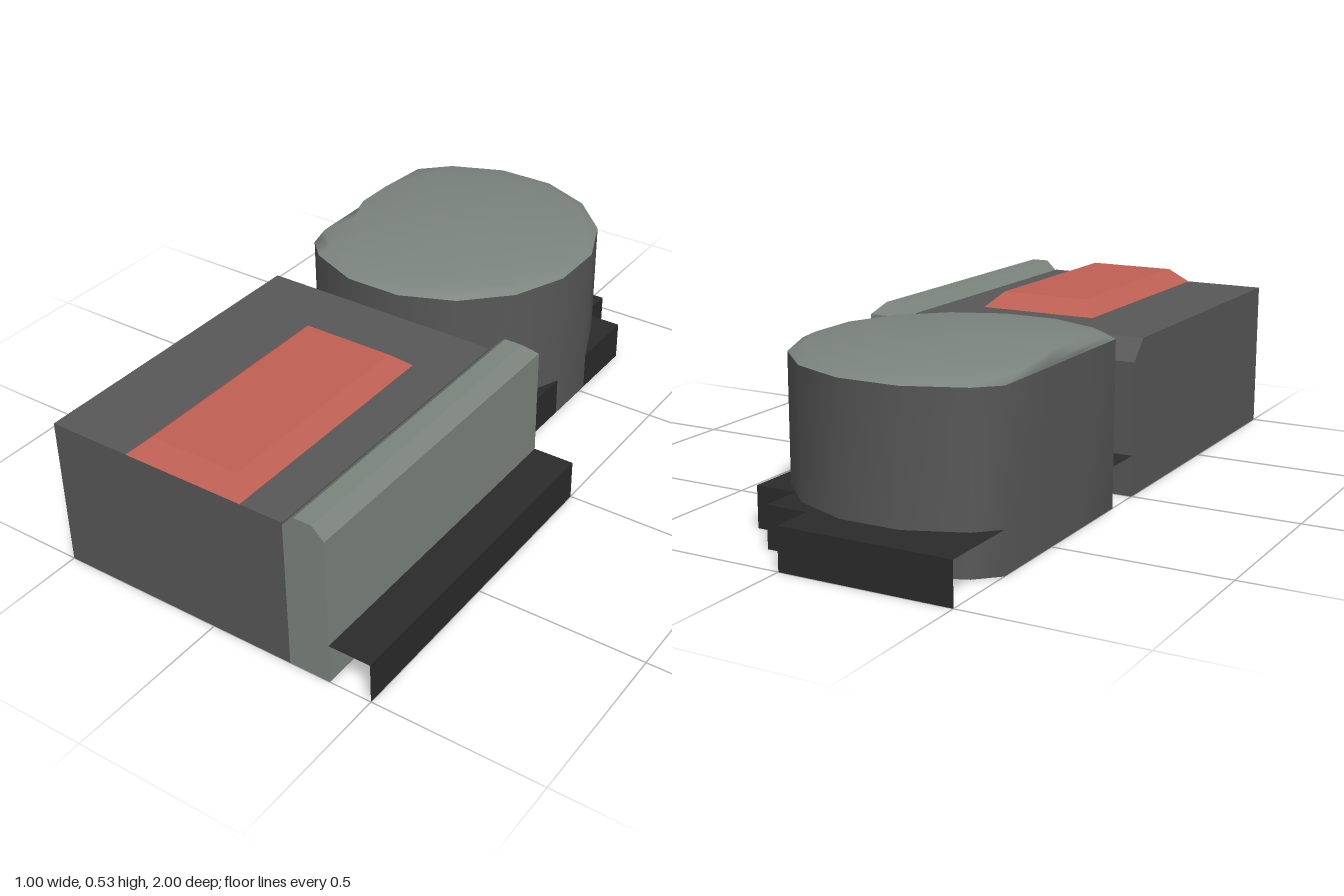
import * as THREE from 'three';
import { ConvexGeometry } from 'three/addons/geometries/ConvexGeometry.js';

const paint = (color) => new THREE.MeshStandardMaterial({ color, side: THREE.DoubleSide });
const black = paint(0x2b2b2b), darkGrey = paint(0x585858), paleGrey = paint(0x7c847e), red = paint(0xc06054);

function part(name, geometry, material) {
  const mesh = new THREE.Mesh(geometry, material);
  mesh.name = name;
  return mesh;
}

// Solid between rectangles given as [y, x0, x1, z0, z1]
function block(...levels) {
  const points = [];
  for (const [y, x0, x1, z0, z1] of levels)
    for (const x of [x0, x1]) for (const z of [z0, z1]) points.push(new THREE.Vector3(x, y, z));
  return new ConvexGeometry(points);
}

// Sixteen-sided ring, cut straight where it passes x = cut
const SIDES = 16;
function ring(radius, cut) {
  const corners = Array.from({ length: SIDES }, (_, i) => {
    const a = ((i + 0.5) / SIDES) * Math.PI * 2;
    return [radius * Math.cos(a), radius * Math.sin(a)];
  });
  return corners.map(([x, z], i) => {
    if (x >= cut) return [x, z];
    for (const step of [1, SIDES - 1]) {
      const [nx, nz] = corners[(i + step) % SIDES];
      if (nx > cut) return [cut, z + ((nz - z) * (cut - x)) / (nx - x)];
    }
    return [cut, z];
  });
}

// Skin over a stack of cut rings, profile given as [radius, y]
function cutLathe(profile, cut) {
  const positions = [], index = [];
  profile.forEach(([radius, y], k) => {
    for (const [x, z] of ring(radius, cut)) positions.push(x, y, z);
    if (k === 0) return;
    for (let i = 0; i < SIDES; i++) {
      const a = (k - 1) * SIDES + i, b = (k - 1) * SIDES + ((i + 1) % SIDES);
      index.push(a, a + SIDES, b, b, a + SIDES, b + SIDES);
    }
  });
  const geometry = new THREE.BufferGeometry();
  geometry.setAttribute('position', new THREE.Float32BufferAttribute(positions, 3));
  geometry.setIndex(index);
  geometry.computeVertexNormals();
  return geometry;
}

// Upright strip along a path of [x, z] points
function skirt(path, height) {
  const positions = [];
  for (let i = 1; i < path.length; i++) {
    const [ax, az] = path[i - 1], [bx, bz] = path[i];
    positions.push(ax, 0, az, bx, 0, bz, bx, height, bz, ax, 0, az, bx, height, bz, ax, height, az);
  }
  const geometry = new THREE.BufferGeometry();
  geometry.setAttribute('position', new THREE.Float32BufferAttribute(positions, 3));
  geometry.computeVertexNormals();
  return geometry;
}

export function createModel() {
  const model = new THREE.Group();

  // Low stepped base: an open shell, edged on the right and back only
  const base = new THREE.Group();
  base.name = 'base';
  const steps = [[0.5, 1], [0.5, 0], [0.25, 0], [0.25, -0.75], [0.125, -0.75], [0.125, -0.875],
    [0, -0.875], [0, -1], [-0.5, -1]];
  const outline = [...steps, [-0.5, 0], [0.37, 0], [0.37, 1]];
  const deck = new THREE.ShapeGeometry(new THREE.Shape(outline.map(([x, z]) => new THREE.Vector2(x, -z))));
  deck.rotateX(-Math.PI / 2).translate(0, 0.12, 0);
  base.add(part('baseDeck', deck, black), part('baseSkirt', skirt(steps, 0.12), black));
  model.add(base);

  // Main box with a bevelled back edge
  model.add(part('mainBox', block([0, -0.5, 0.25, 0, 1], [0.39, -0.5, 0.25, 0, 1],
    [0.45, -0.5, 0.25, 0.06, 1]), darkGrey));

  // Side rail with a bevelled top
  model.add(part('sideRail', block([0, 0.25, 0.375, 0, 1], [0.445, 0.25, 0.375, 0, 1],
    [0.48, 0.285, 0.34, 0.035, 1]), paleGrey));

  // Raised red panel
  model.add(part('redPanel', block([0.45, -0.25, 0.12, 0.25, 1], [0.495, -0.2, 0.075, 0.3, 0.95]), red));

  // Drum with a shallow dome, cut flat on one side
  const drum = new THREE.Group();
  drum.name = 'drum';
  drum.position.set(-0.19, 0, -0.44);
  const cut = -0.31, R = 0.449;
  drum.add(
    part('drumWall', cutLathe([[R, 0], [R, 0.48]], cut), darkGrey),
    part('drumDome', cutLathe([[R, 0.48], [0.435, 0.487], [0.41, 0.499], [0.31, 0.517], [0.13, 0.53], [0, 0.532]], cut), paleGrey),
    part('drumBottom', cutLathe([[0, 0], [R, 0]], cut), darkGrey),
  );
  model.add(drum);

  return model;
}
